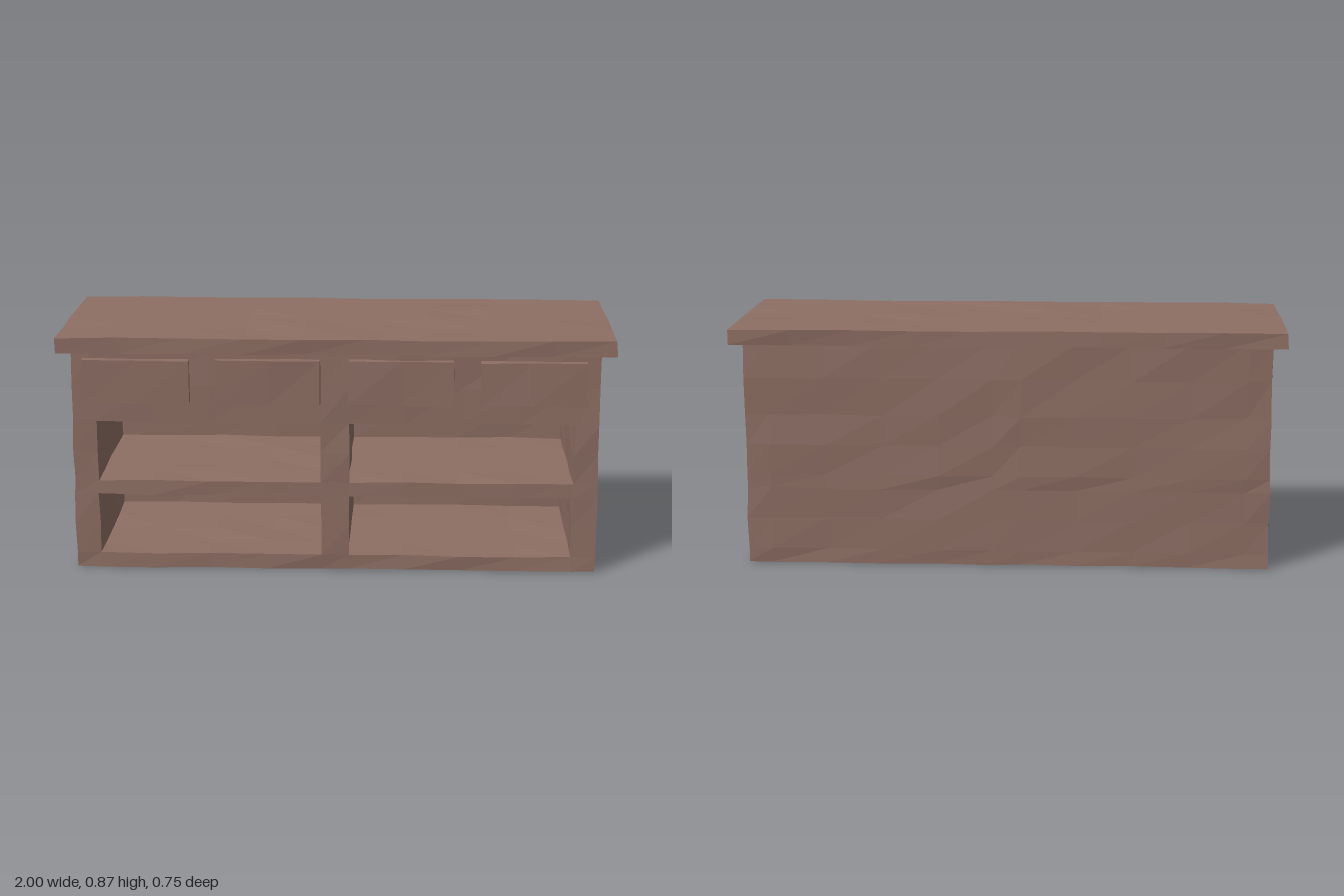
import * as THREE from 'three';

const material = new THREE.MeshStandardMaterial({ color: 0x8d6e63, flatShading: true });

// Small repeatable unevenness that depends only on position, so shared corners stay joined
const WOBBLE = 0.003;
const jitter = (x, y, z, k) => {
  const s = Math.sin(x * 127.1 + y * 311.7 + z * 74.7 + k * 53.3) * 43758.5453;
  return (s - Math.floor(s) - 0.5) * 2 * WOBBLE;
};

// Evenly spaced grid lines from a to b
const span = (a, b, n) => Array.from({ length: n + 1 }, (_, i) => a + ((b - a) * i) / n);

// Surface of a block of grid cells, leaving out the cells for which hollow() is true
function carvedBlock(name, xs, ys, zs, hollow = () => false) {
  const lines = [xs, ys, zs];
  const positions = [];
  const solid = (c) => {
    if (c.some((v, a) => v < 0 || v >= lines[a].length - 1)) return false;
    return !hollow(...c.map((v, a) => (lines[a][v] + lines[a][v + 1]) / 2));
  };
  const corner = (c) => {
    const p = c.map((v, a) => lines[a][v]);
    positions.push(...p.map((v, a) => v + jitter(...p, a)));
  };
  for (let i = 0; i < xs.length - 1; i++)
    for (let j = 0; j < ys.length - 1; j++)
      for (let k = 0; k < zs.length - 1; k++) {
        const cell = [i, j, k];
        if (!solid(cell)) continue;
        for (let axis = 0; axis < 3; axis++)
          for (const side of [0, 1]) {
            const next = [...cell];
            next[axis] += side ? 1 : -1;
            if (solid(next)) continue;
            const u = (axis + 1) % 3, v = (axis + 2) % 3;
            const quad = [[0, 0], [1, 0], [1, 1], [0, 1]].map(([du, dv]) => {
              const c = [...cell];
              c[axis] += side;
              c[u] += du;
              c[v] += dv;
              return c;
            });
            if (!side) quad.reverse();
            [0, 1, 2, 0, 2, 3].forEach((q) => corner(quad[q]));
          }
      }
  const geometry = new THREE.BufferGeometry();
  geometry.setAttribute('position', new THREE.Float32BufferAttribute(positions, 3));
  geometry.computeVertexNormals();
  const mesh = new THREE.Mesh(geometry, material);
  mesh.name = name;
  return mesh;
}

export function createModel() {
  const group = new THREE.Group();
  group.name = 'sideboard';

  // Cabinet with four open compartments, closed at the back
  const half = [0.05, 0.25, 0.455, 0.66, 0.86, 0.948];
  const xs = [...half.map((x) => -x).reverse(), ...half];
  const ys = [0.004, 0.057, 0.17, 0.282, 0.335, 0.445, 0.555, 0.69, 0.825];
  const zs = [-0.34, -0.29, -0.13, 0.03, 0.19, 0.339];
  const inCompartment = (x, y, z) =>
    Math.abs(x) > 0.05 && Math.abs(x) < 0.86 && z > -0.29 &&
    ((y > 0.057 && y < 0.282) || (y > 0.335 && y < 0.555));
  group.add(carvedBlock('cabinet', xs, ys, zs, inCompartment));

  // Overhanging top board
  group.add(carvedBlock('topBoard', span(-0.998, 0.998, 9), [0.815, 0.87], span(-0.374, 0.374, 4)));

  // Row of four drawer fronts
  [-0.713, -0.24, 0.237, 0.71].forEach((x, i) => {
    group.add(carvedBlock(`drawerFront${i + 1}`,
      span(x - 0.189, x + 0.189, 2), [0.632, 0.79], [0.33, 0.374]));
  });

  return group;
}
